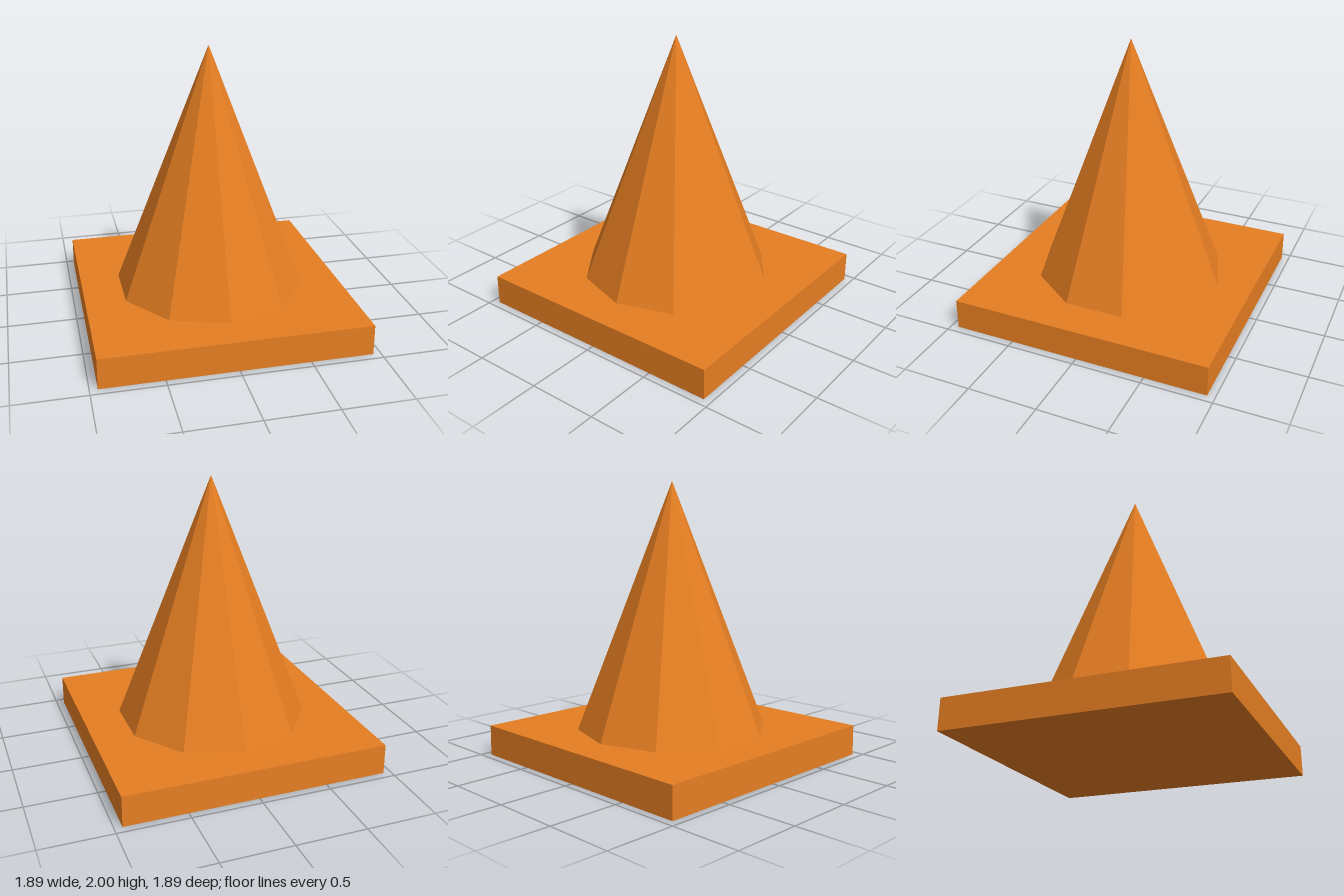
import * as THREE from 'three';

export function createModel() {
  const group = new THREE.Group();
  const orange = new THREE.MeshStandardMaterial({ color: 0xe67e22, flatShading: true });
  orange.name = 'orange';

  const baseHeight = 0.22;
  const baseWidth = 1.89;
  const coneHeight = 2 - baseHeight;

  // Square foot plate
  const base = new THREE.Mesh(new THREE.BoxGeometry(baseWidth, baseHeight, baseWidth), orange);
  base.name = 'base';
  base.position.y = baseHeight / 2;

  // Ten-sided faceted cone, with corners on the +z and -z axes
  const cone = new THREE.Mesh(new THREE.ConeGeometry(0.69, coneHeight, 10), orange);
  cone.name = 'cone';
  cone.position.y = baseHeight + coneHeight / 2;

  group.add(base, cone);
  return group;
}
